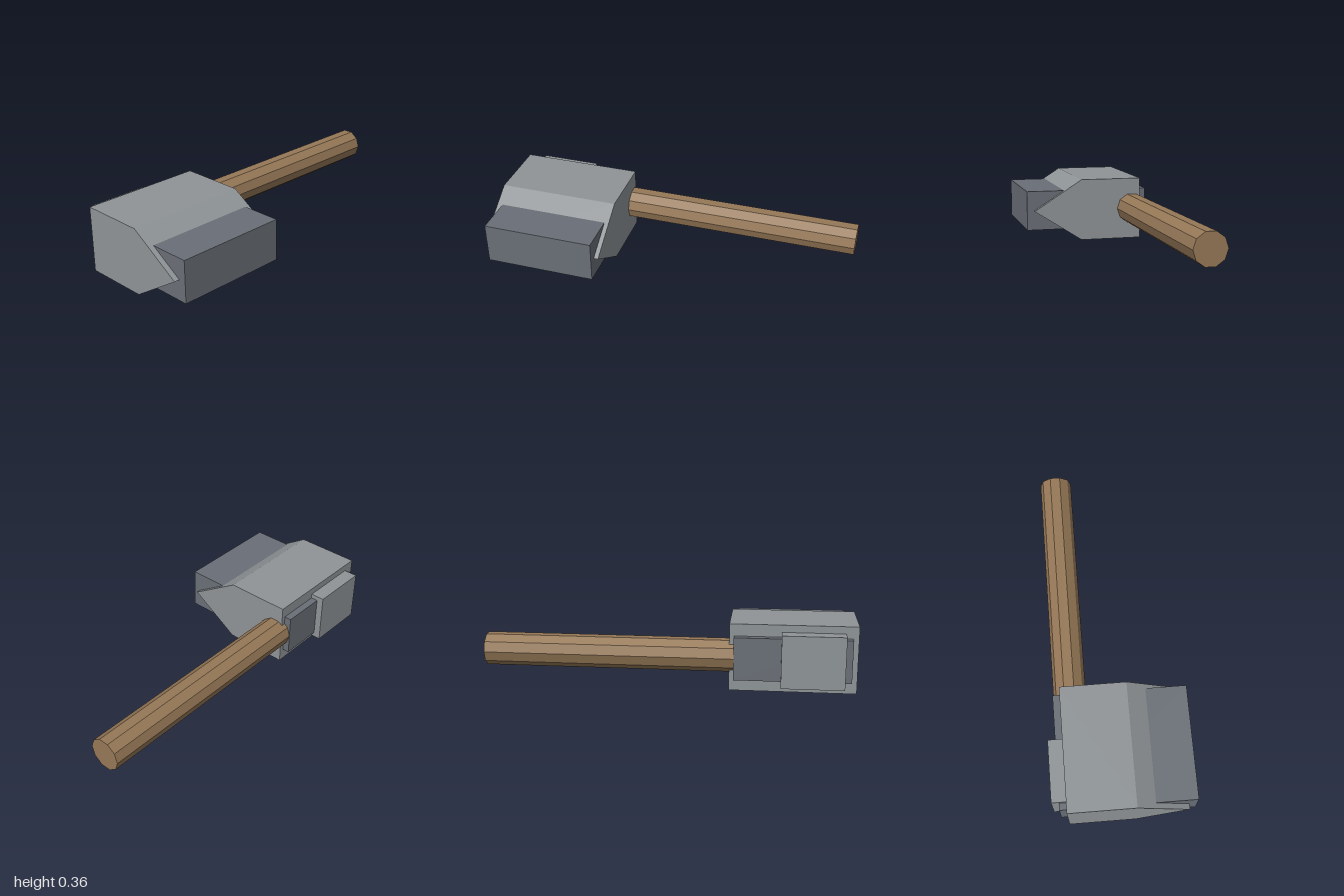
import * as THREE from 'three';

export function createModel() {
  const group = new THREE.Group();
  const material = (name, color) => {
    const m = new THREE.MeshStandardMaterial({ color, flatShading: true });
    m.name = name;
    return m;
  };
  const steel = material('light steel', 0x8f9497);
  const iron = material('dark iron', 0x6a6f77);
  const wood = material('brown wood', 0x967857);

  const add = (name, geometry, mat) => {
    const mesh = new THREE.Mesh(geometry, mat);
    mesh.name = name;
    group.add(mesh);
    return mesh;
  };
  // Box given by its lower and upper corners
  const box = (name, mat, [x0, y0, z0], [x1, y1, z1]) =>
    add(name, new THREE.BoxGeometry(x1 - x0, y1 - y0, z1 - z0), mat)
      .position.set((x0 + x1) / 2, (y0 + y1) / 2, (z0 + z1) / 2);

  // Wedge-shaped head, pointed towards +x
  const outline = [[-0.305, 0.001], [0.057, 0.001], [0.341, 0.183], [0.057, 0.365], [-0.305, 0.365]];
  const shape = new THREE.Shape(outline.map(([x, y]) => new THREE.Vector2(x, y)));
  add('head', new THREE.ExtrudeGeometry(shape, { depth: 0.675, bevelEnabled: false }), steel)
    .position.z = 0.325;

  // Dark block running through the head, and the striking plate behind it
  box('core', iron, [-0.345, 0.068, 0.35], [0.382, 0.3, 0.97]);
  box('strikingPlate', steel, [-0.384, 0.041, 0.6], [-0.3, 0.326, 0.933]);

  // Ten-sided handle, with a corner on each side
  const handle = new THREE.CylinderGeometry(0.09, 0.09, 1.4, 10, 1, false, Math.PI / 2);
  handle.rotateX(Math.PI / 2);
  add('handle', handle, wood).position.set(-0.255, 0.183, -0.3);

  return group;
}
